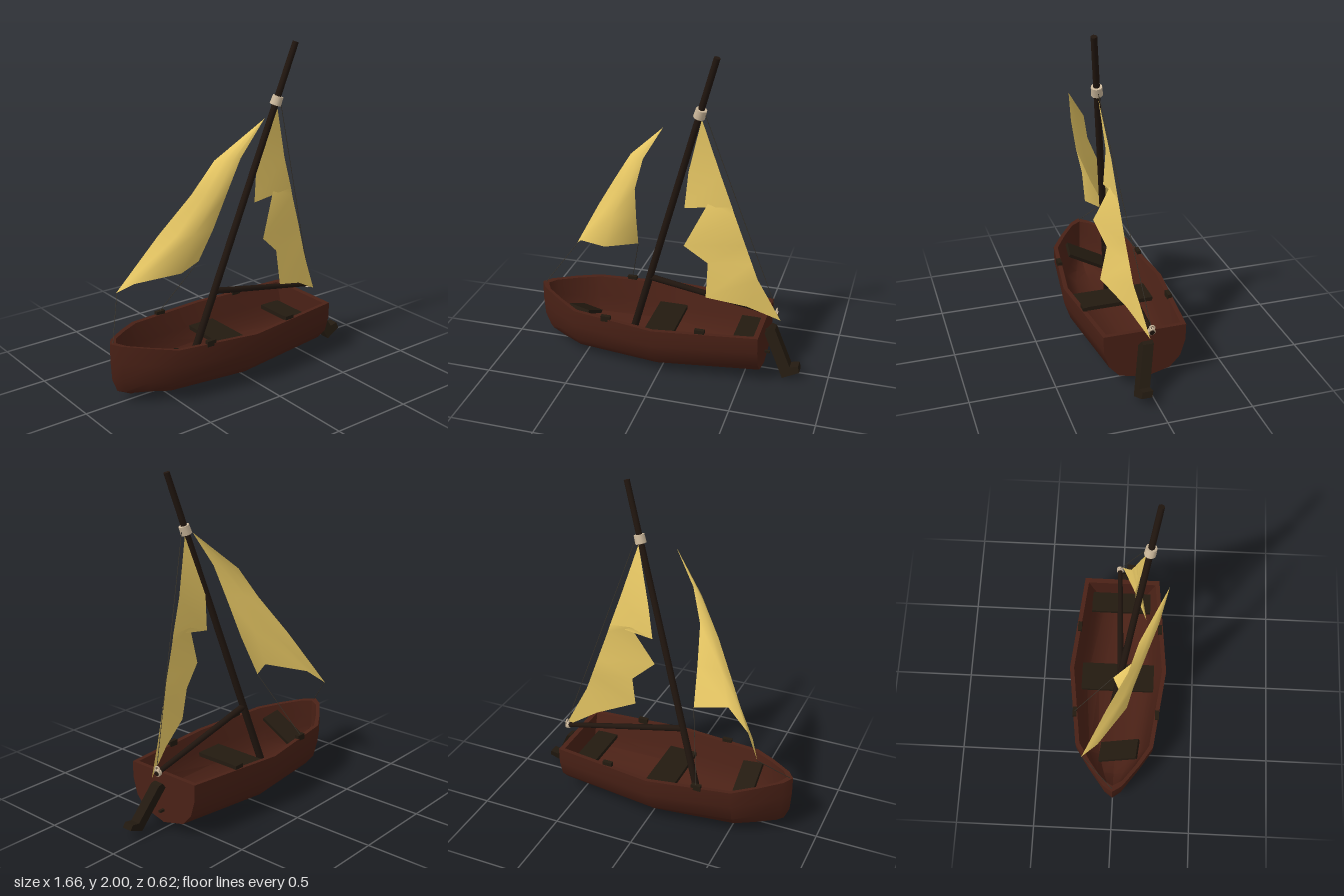
import * as THREE from 'three';
import { toCreasedNormals } from 'three/addons/utils/BufferGeometryUtils.js';

const mat = (color, side = THREE.FrontSide) =>
  new THREE.MeshStandardMaterial({ color, side, roughness: 0.9 });
const V = (p) => new THREE.Vector3(...p);

function surface(points, index) {
  const g = new THREE.BufferGeometry();
  g.setAttribute('position', new THREE.Float32BufferAttribute(points.flat(), 3));
  g.setIndex(index);
  g.computeVertexNormals();
  return g;
}

// Surface through equally long rows of points
function loft(rows) {
  const n = rows[0].length, index = [];
  for (let i = 0; i < rows.length - 1; i++)
    for (let j = 0; j < n - 1; j++) {
      const a = i * n + j, b = a + n;
      index.push(a, a + 1, b, a + 1, b + 1, b);
    }
  return surface(rows.flat(), index);
}

// End wall filling a hull section
function endWall(points) {
  const outline = points.map((p) => new THREE.Vector2(p[2], p[1]));
  return surface(points, THREE.ShapeUtils.triangulateShape(outline, []).flat());
}

// Hull sections: width share, height share, setback share at each level
const outerLevels = [[1, 1, 0], [0.99, 0.68, 0], [0.87, 0.35, 0.06], [0.62, 0.13, 0.3], [0, 0, 1]];
const innerLevels = [[1, 1, 0], [0.86, 0.6, 0], [0.73, 0.27, 0], [0.45, 0.07, 0], [0, 0, 0]];

function section([x, w, keel, top, back], levels) {
  const half = (s) => levels.map(([lw, lh, lb]) =>
    [x + back * lb, keel + (top - keel) * lh, s * w * lw]);
  return [...half(1), ...half(-1).reverse().slice(1)];
}

// Closed loop round the top of the hull
function rimLoop(rows) {
  const port = rows.map((r) => r[0]).reverse(), starboard = rows.map((r) => r.at(-1));
  return [...port, ...starboard, port[0]];
}

export function createModel() {
  const model = new THREE.Group();
  const wood = mat(0x4a2116, THREE.DoubleSide);
  const dark = mat(0x231a10);
  const spar = mat(0x21160f);
  const cloth = mat(0xf0cf68, THREE.DoubleSide);
  const cord = mat(0x3a352c);
  const binding = mat(0xcdb99c);

  const add = (name, geometry, material, pos = [0, 0, 0]) => {
    const mesh = new THREE.Mesh(geometry, material);
    mesh.name = name;
    mesh.position.set(...pos);
    model.add(mesh);
    return mesh;
  };

  // Tapered round pole between two points
  const pole = (name, from, to, r0, r1, material, sides = 8) => {
    const a = V(from), b = V(to), d = b.clone().sub(a);
    const mesh = add(name, new THREE.CylinderGeometry(r1, r0, d.length(), sides), material);
    mesh.position.copy(a).add(b).multiplyScalar(0.5);
    mesh.quaternion.setFromUnitVectors(new THREE.Vector3(0, 1, 0), d.normalize());
  };

  // Stations from bow to stern: x, half width, keel height, rail height, keel setback
  const outer = [
    [-0.83, 0, 0.035, 0.385, 0.13],
    [-0.79, 0.06, 0.034, 0.38, 0.11],
    [-0.66, 0.16, 0.03, 0.367, 0.04],
    [-0.53, 0.245, 0.02, 0.352, 0],
    [-0.02, 0.312, 0.004, 0.335, 0],
    [0.605, 0.246, 0.042, 0.35, 0],
  ].map((s) => section(s, outerLevels));
  const inner = [
    [-0.79, 0, 0.2, 0.38, 0],
    [-0.755, 0.06, 0.13, 0.375, 0],
    [-0.645, 0.142, 0.065, 0.363, 0],
    [-0.52, 0.22, 0.055, 0.35, 0],
    [-0.02, 0.285, 0.042, 0.334, 0],
    [0.575, 0.222, 0.078, 0.348, 0],
  ].map((s) => section(s, innerLevels));
  add('hullOutside', toCreasedNormals(loft(outer), 0.6), wood);
  add('hullInside', toCreasedNormals(loft(inner), 0.6), wood);
  add('transomOutside', endWall(outer.at(-1)), wood);
  add('transomInside', endWall(inner.at(-1)), wood);
  add('gunwale', toCreasedNormals(loft([rimLoop(outer), rimLoop(inner)]), 0.4), wood);

  // Benches; the forward one has come loose
  add('middleBench', new THREE.BoxGeometry(0.18, 0.025, 0.47), dark, [-0.035, 0.21, 0]);
  add('sternBench', new THREE.BoxGeometry(0.135, 0.025, 0.39), dark, [0.487, 0.22, 0]);
  const bowBench = add('bowBench', new THREE.BoxGeometry(0.13, 0.022, 0.27), dark, [-0.535, 0.252, 0.03]);
  bowBench.rotation.set(-0.5, 0, -0.2);

  // Oarlock blocks on the rails
  for (const x of [-0.32, 0.26])
    for (const s of [1, -1])
      add('oarlock', new THREE.BoxGeometry(0.06, 0.035, 0.025), dark, [x, 0.347, s * 0.262]);

  // Leaning mast with its binding, and the boom
  pole('mast', [-0.247, 0.1, -0.035], [0.322, 1.995, 0.206], 0.023, 0.018, spar);
  pole('mastBinding', [0.216, 1.64, 0.161], [0.232, 1.69, 0.168], 0.034, 0.032, binding, 10);
  pole('boom', [-0.115, 0.535, 0.02], [0.675, 0.375, -0.018], 0.02, 0.015, spar);
  pole('boomBinding', [0.65, 0.38, -0.017], [0.67, 0.376, -0.018], 0.022, 0.022, binding, 10);
  const ring = add('boomRing', new THREE.TorusGeometry(0.016, 0.005, 6, 12), binding, [0.665, 0.4, -0.018]);
  ring.rotation.y = Math.PI / 2;

  // Torn mainsail: rows from head to clew, each from torn edge to straight edge
  const mainHead = [0.232, 1.63, 0.16], clew = [0.693, 0.348, 0];
  add('mainSail', loft([
    [mainHead, mainHead],
    [[0.14, 1.28, 0.09], [0.332, 1.3, 0.115]],
    [[0.12, 1.06, 0.1], [0.4, 1.1, 0.1]],
    [[0.262, 1.11, 0.1], [0.415, 1.05, 0.095]],
    [[0.135, 0.85, 0.165], [0.48, 0.86, 0.08]],
    [[0.27, 0.735, 0.125], [0.52, 0.74, 0.068]],
    [[0.27, 0.53, 0.165], [0.555, 0.635, 0.058]],
    [[0.5, 0.455, 0.075], [0.605, 0.53, 0.035]],
    [clew, clew],
  ]), cloth);

  // Billowing foresail: rows from head to foot, each from luff to leech
  const head = [0.046, 1.605, 0.275];
  add('foreSail', loft([
    [head, head, head, head],
    [[-0.19, 1.37, 0.125], [-0.16, 1.375, 0.175], [-0.125, 1.38, 0.21], [-0.085, 1.39, 0.23]],
    [[-0.31, 1.18, 0.07], [-0.26, 1.18, 0.125], [-0.21, 1.18, 0.165], [-0.15, 1.18, 0.185]],
    [[-0.46, 0.94, -0.045], [-0.4, 0.94, 0.04], [-0.32, 0.95, 0.105], [-0.175, 0.95, 0.09]],
    [[-0.665, 0.588, -0.192], [-0.6, 0.66, -0.095], [-0.385, 0.725, 0.07], [-0.2, 0.73, -0.02]],
  ]), cloth);

  // Rigging
  const ropes = [
    ['bowRope', [-0.66, 0.59, -0.19], [-0.81, 0.383, 0]],
    ['sheetRope', [-0.2, 0.73, -0.02], [-0.32, 0.36, -0.265]],
    ['backStay', [0.25, 1.665, 0.165], [0.668, 0.395, -0.015]],
  ];
  for (const [name, a, b] of ropes) pole(name, a, b, 0.002, 0.002, cord, 5);

  // Rudder hanging askew from the transom
  const blade = new THREE.Shape([
    [0.607, 0.268], [0.735, 0.02], [0.835, 0.065], [0.825, 0.1], [0.775, 0.09], [0.667, 0.3], [0.64, 0.307],
  ].map(([x, y]) => new THREE.Vector2(x, y)));
  const rudder = new THREE.ExtrudeGeometry(blade, { depth: 0.063, bevelEnabled: false });
  const p = rudder.attributes.position;
  for (let i = 0; i < p.count; i++) p.setZ(i, p.getZ(i) - 0.03 + (0.3 - p.getY(i)) * 0.27);
  rudder.computeVertexNormals();
  add('rudder', rudder, dark);
  for (const y of [0.12, 0.27])
    add('rudderBracket', new THREE.BoxGeometry(0.045, 0.014, 0.016), dark, [0.615, y, 0]);

  return model;
}
